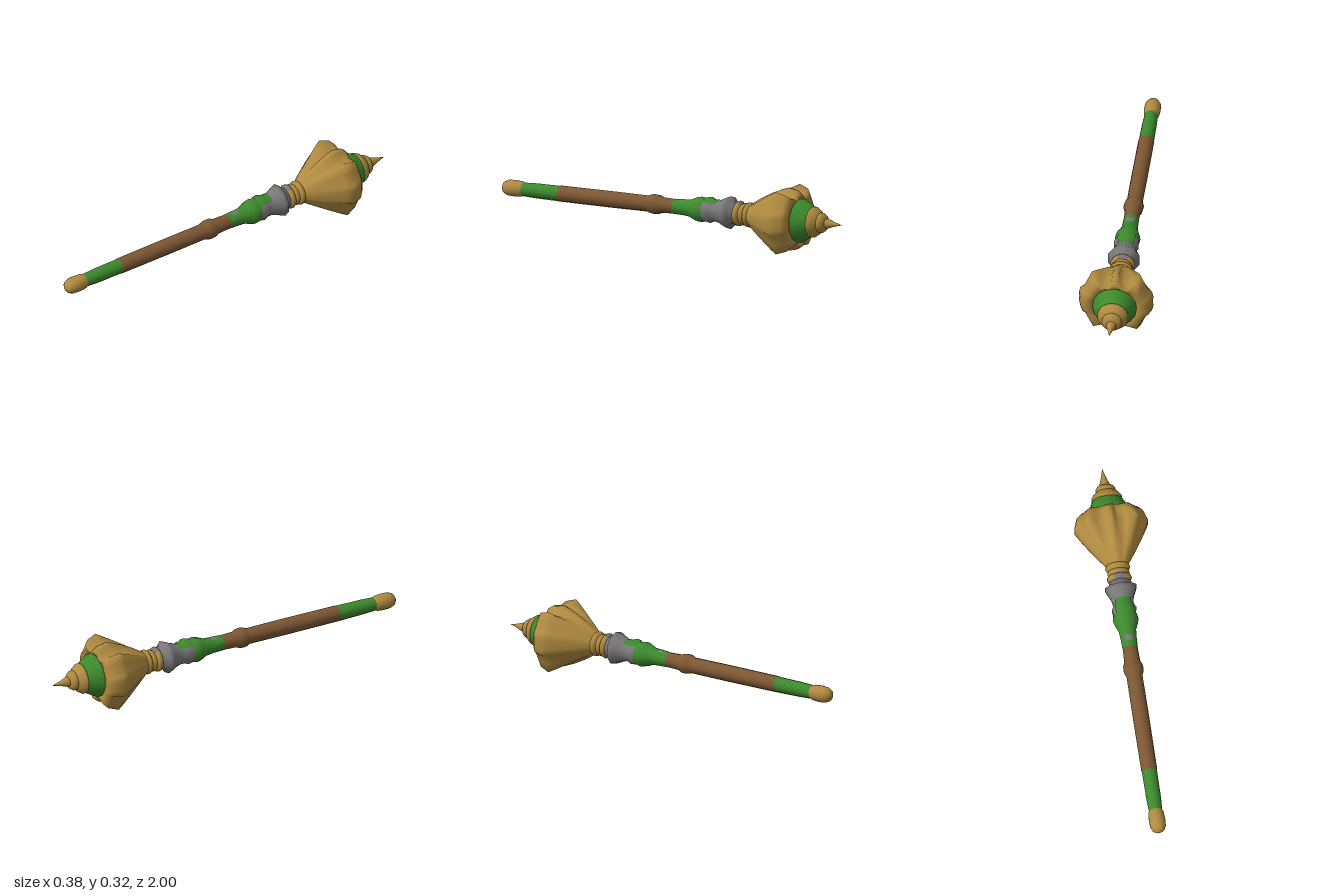
import * as THREE from 'three';

const AXIS_Y = 0.163;

export function createModel() {
  const model = new THREE.Group();
  model.name = 'mace';
  const mat = (name, color) => new THREE.MeshStandardMaterial({ name, color });
  const gold = mat('gold', 0xb08a40);
  const green = mat('green', 0x3c8a2c);
  const brown = mat('brown', 0x7d5733);
  const grey = mat('grey', 0x797777);

  const add = (name, geometry, material) => {
    const mesh = new THREE.Mesh(geometry, material);
    mesh.name = name;
    mesh.position.y = AXIS_Y;
    model.add(mesh);
  };

  // Turned part along z; profile is [radius, z] with z rising. Angle 0 is the underside.
  const turned = (name, material, profile, sides = 12, middle = 0, spread = Math.PI * 2) => {
    const pts = profile.map(([r, z]) => new THREE.Vector2(r, z));
    const start = spread < 6 ? middle - spread / 2 : 0;
    const geo = new THREE.LatheGeometry(pts, sides, start, spread);
    geo.rotateX(Math.PI / 2);
    add(name, geo, material);
  };

  // Shaft and grip
  turned('pommel', gold, [[0.033, 0.875], [0.04, 0.89], [0.043, 0.93], [0.041, 0.965],
    [0.03, 0.988], [0.014, 0.998], [0, 1]], 14);
  turned('lowerGrip', green, [[0.039, 0.65], [0.038, 0.8], [0.034, 0.89]]);
  turned('shaft', brown, [[0.038, -0.03], [0.041, 0.06], [0.05, 0.08], [0.052, 0.105],
    [0.048, 0.125], [0.041, 0.14], [0.042, 0.35], [0.041, 0.66], [0.036, 0.665]]);
  turned('undersideStrip', gold, [[0.0425, 0.145], [0.0435, 0.35], [0.0425, 0.65],
    [0.0395, 0.8], [0.036, 0.88]], 2, 0, 0.6);

  // Upper grip and collar
  turned('upperGrip', green, [[0.06, -0.2], [0.066, -0.17], [0.06, -0.145], [0.045, -0.11],
    [0.041, -0.06], [0.04, -0.015]]);
  turned('inlay', grey, [[0.043, -0.075], [0.042, -0.045]], 2, Math.PI, 0.9);
  turned('collar', grey, [[0.045, -0.385], [0.06, -0.375], [0.062, -0.355], [0.086, -0.345],
    [0.078, -0.325], [0.064, -0.295], [0.056, -0.27], [0.056, -0.245], [0.066, -0.225], [0.06, -0.195]], 10);
  turned('collarTopPlate', green, [[0.06, -0.275], [0.06, -0.245], [0.07, -0.225], [0.064, -0.195]], 4, Math.PI, 1.5);

  // Beads between collar and head
  const bead = (z, r, h) => [[r - 0.016, z - h], [r - 0.004, z - h * 0.6], [r, z],
    [r - 0.004, z + h * 0.6], [r - 0.016, z + h]];
  for (const [z, r] of [[-0.455, 0.065], [-0.425, 0.058], [-0.395, 0.065]])
    turned('neckBead', gold, bead(z, r, 0.019), 16);
  turned('beadPlate', grey, bead(-0.395, 0.067, 0.018), 3, Math.PI, 0.9);

  // Flared head: lobed outline (one quarter, mirrored) blended with a circle along z
  const quarter = [[0, 0.162], [0.018, 0.162], [0.036, 0.115], [0.08, 0.135], [0.125, 0.162],
    [0.145, 0.115], [0.166, 0.068], [0.185, 0.057], [0.191, 0.03], [0.19, 0]];
  const half = [...quarter, ...quarter.slice(0, -1).reverse().map(([x, y]) => [x, -y])];
  const outline = [...half, ...half.slice(1, -1).reverse().map(([x, y]) => [-x, y])].reverse();
  const rings = [[-0.7, 0.1, 0], [-0.752, 0.108, 0.05], [-0.757, 0.115, 0.45], [-0.735, 0.12, 0.75],
    [-0.68, 0.12, 1], [-0.645, 0.118, 0.75], [-0.59, 0.106, 0.4], [-0.53, 0.086, 0.15], [-0.465, 0.056, 0]];
  const pos = [], index = [], n = outline.length;
  rings.forEach(([z, r, w], j) => outline.forEach(([x, y], i) => {
    const len = Math.hypot(x, y), k = (r * (1 - w) + len * w) / len;
    pos.push(x * k, y * k, z);
    if (j === 0) return;
    const a = (j - 1) * n + i, b = (j - 1) * n + (i + 1) % n;
    index.push(a, b, a + n, b, b + n, a + n);
  }));
  const head = new THREE.BufferGeometry();
  head.setAttribute('position', new THREE.Float32BufferAttribute(pos, 3));
  head.setIndex(index);
  head.computeVertexNormals();
  gold.side = THREE.DoubleSide;
  add('flaredHead', head, gold);

  // Core, stepped cap and spike
  turned('headCore', green, [[0.07, -0.84], [0.078, -0.825], [0.114, -0.76], [0.115, -0.72]], 16);
  turned('capLowerRing', gold, [[0.05, -0.872], [0.066, -0.86], [0.08, -0.838], [0.08, -0.828], [0.06, -0.82]], 18);
  turned('capUpperRing', gold, [[0.022, -0.907], [0.042, -0.9], [0.052, -0.885], [0.05, -0.868], [0.04, -0.862]], 16);
  turned('spike', gold, [[0, -1], [0.012, -0.955], [0.026, -0.915], [0.024, -0.905], [0.018, -0.895]], 12);

  return model;
}
